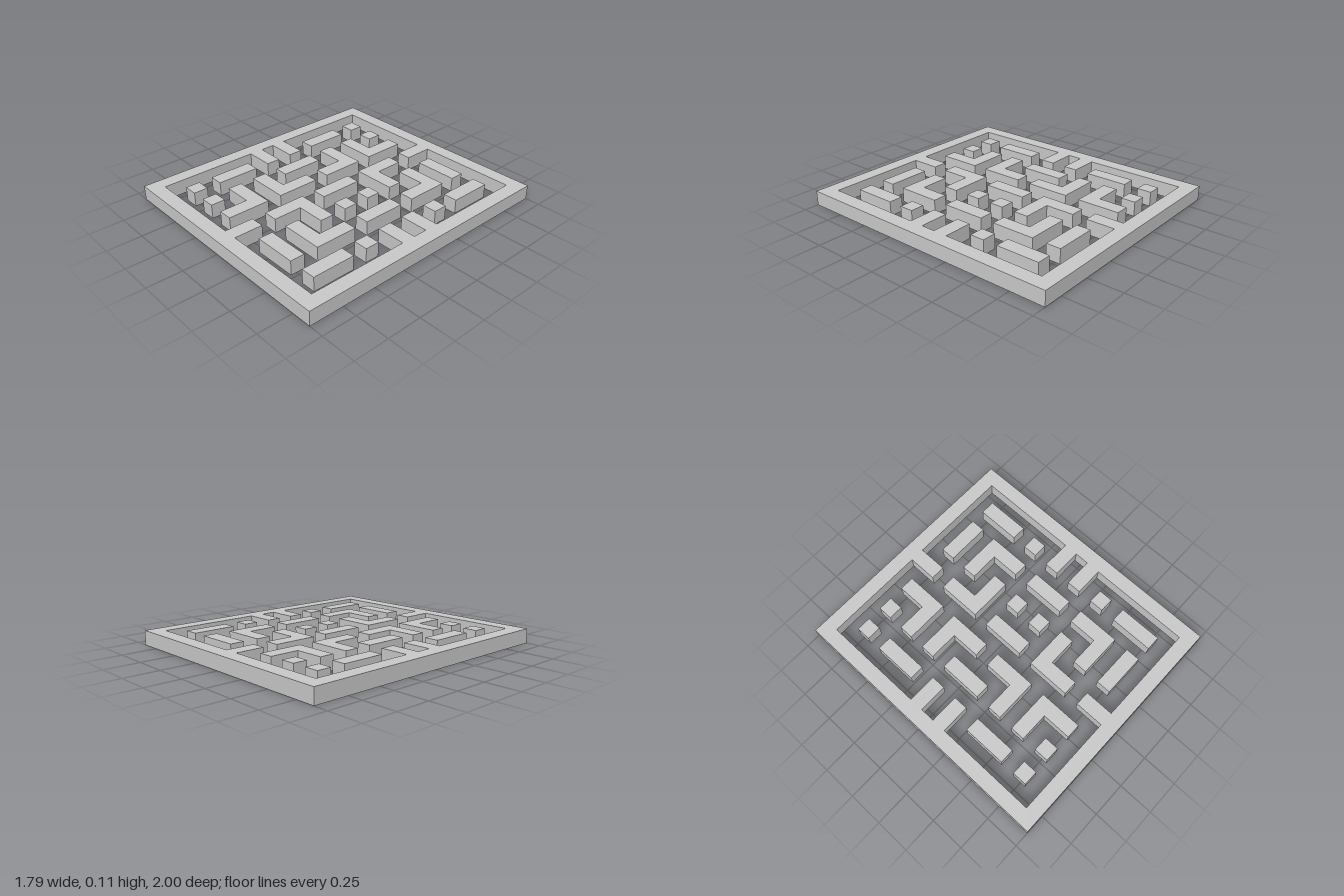
import * as THREE from 'three';

// The maze lies on a grid of square cells, 17 columns by 19 rows.
const COLS = 17, ROWS = 19, CELL = 2 / ROWS;

// Grid edge coordinates (column, row from the back) to shape coordinates.
const toPlan = ([c, r]) => new THREE.Vector2((c - COLS / 2) * CELL, (ROWS / 2 - r) * CELL);

// Outline of a wall one cell thick that follows a path of cell centres.
function wallOutline(path) {
  const pts = path.map(([c, r]) => new THREE.Vector2(c + 0.5, r + 0.5));
  const dirs = pts.slice(1).map((p, i) => p.clone().sub(pts[i]).normalize());
  if (!dirs.length) { // single post
    dirs.push(new THREE.Vector2(1, 0));
    pts.push(pts[0].clone());
  }
  const left = [], right = [];
  pts.forEach((p, i) => {
    const a = dirs[i - 1], b = dirs[i];
    const offset = new THREE.Vector2();
    const base = p.clone();
    if (a) offset.add(new THREE.Vector2(-a.y, a.x));
    if (b) offset.add(new THREE.Vector2(-b.y, b.x));
    if (!a) base.addScaledVector(b, -0.5);
    if (!b) base.addScaledVector(a, 0.5);
    left.push([base.x + offset.x / 2, base.y + offset.y / 2]);
    right.unshift([base.x - offset.x / 2, base.y - offset.y / 2]);
  });
  return [...left, ...right];
}

export function createModel() {
  const model = new THREE.Group();
  model.name = 'maze';
  const material = new THREE.MeshStandardMaterial({ color: 0xcccccc, flatShading: true });

  // Raise a plan outline to wall height.
  function addWall(name, outline, hole) {
    const shape = new THREE.Shape(outline.map(toPlan));
    if (hole) shape.holes.push(new THREE.Path(hole.map(toPlan)));
    const geometry = new THREE.ExtrudeGeometry(shape, { depth: CELL, bevelEnabled: false });
    geometry.rotateX(-Math.PI / 2);
    const mesh = new THREE.Mesh(geometry, material);
    mesh.name = name;
    model.add(mesh);
  }

  // Border with its inward stubs: back half of the opening, then its mirror.
  // The outer outline runs counter-clockwise and the opening clockwise.
  const halfOpening = [
    [1, 9], [3, 9], [3, 8], [1, 8], [1, 1], [8, 1], [8, 3], [9, 3],
    [9, 1], [16, 1], [16, 8], [14, 8], [14, 9], [16, 9],
  ];
  const mirrored = halfOpening.map(([c, r]) => [c, ROWS - r]).reverse();
  addWall('borderWall', [[0, 0], [0, ROWS], [COLS, ROWS], [COLS, 0]], [...halfOpening, ...mirrored]);

  // Free-standing walls of the back half, repeated in the front half.
  const walls = {
    post: [[[2, 2]], [[4, 2]], [[14, 6]], [[10, 8]]],
    straightWall: [[[10, 2], [12, 2]], [[14, 2], [14, 4]], [[2, 4], [2, 6]]],
    cornerWall: [
      [[6, 2], [6, 4], [4, 4]],
      [[4, 6], [6, 6], [6, 8]],
      [[8, 4], [8, 6], [10, 6]],
      [[10, 4], [12, 4], [12, 6]],
    ],
  };
  for (const [name, paths] of Object.entries(walls)) {
    for (const path of paths) {
      addWall(name + 'Back', wallOutline(path));
      addWall(name + 'Front', wallOutline(path.map(([c, r]) => [c, ROWS - 1 - r])));
    }
  }

  // Straight walls crossing the middle line.
  for (const c of [4, 8, 12]) addWall('middleWall', wallOutline([[c, 8], [c, 10]]));

  return model;
}
